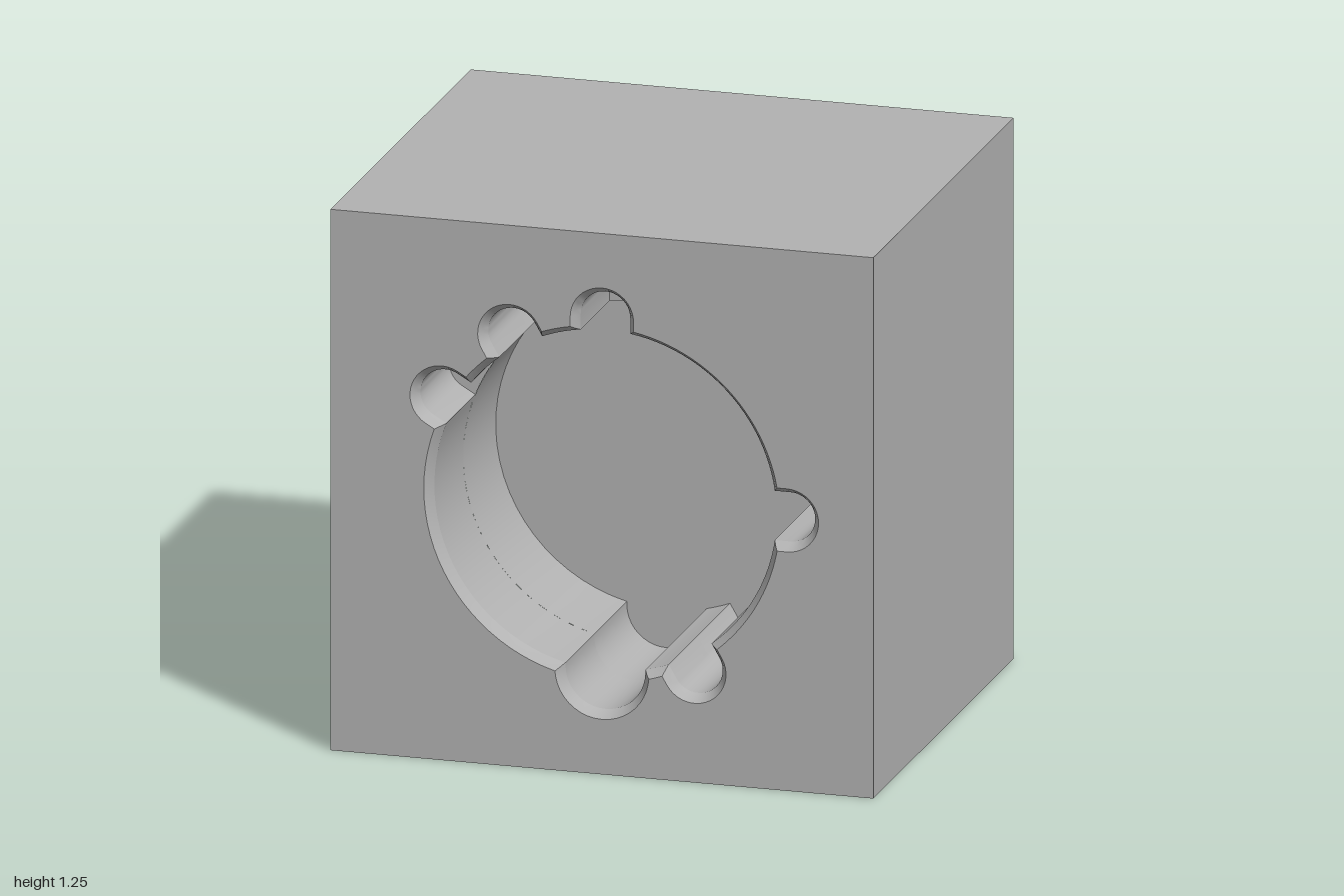
import * as THREE from 'three';
import { toCreasedNormals } from 'three/addons/utils/BufferGeometryUtils.js';

const CY = 0.625; // height of the socket and bore axis
const R = 0.394; // socket radius

// Lobes around the socket: angle, distance from axis, radius
const LOBES = [
  { a: 0, d: 0.426, r: 0.057 },
  { a: 90, d: 0.426, r: 0.057, shallow: true },
  { a: 120, d: 0.426, r: 0.057 },
  { a: 150, d: 0.426, r: 0.057, shallow: true },
  { a: 270, d: 0.39, r: 0.092 },
  { a: 300, d: 0.426, r: 0.057 },
];

const polar = (r, a) => new THREE.Vector2(r * Math.cos(a), CY + r * Math.sin(a));

function arc(r, a0, a1, n) {
  return Array.from({ length: n + 1 }, (_, i) => polar(r, a0 + ((a1 - a0) * i) / n));
}

// Rounded, straight-sided pocket standing out from the main circle
function lobePoints(lobe, off) {
  const a = THREE.MathUtils.degToRad(lobe.a);
  const w = lobe.r + off;
  const chord = Math.sqrt((R + off) ** 2 - w * w);
  const at = (u, v) => new THREE.Vector2(
    u * Math.cos(a) - v * Math.sin(a), CY + u * Math.sin(a) + v * Math.cos(a));
  const pts = [at(chord, -w)];
  for (let i = 0; i <= 20; i++) {
    const t = -Math.PI / 2 + (Math.PI * i) / 20;
    pts.push(at(Math.max(lobe.d + w * Math.cos(t), chord + 0.001), w * Math.sin(t)));
  }
  pts.push(at(chord, w));
  return pts;
}

const halfAngle = (lobe, off) => Math.asin((lobe.r + off) / (R + off));

// Closed counter-clockwise socket outline, grown by off
function outline(lobes, off) {
  const pts = [];
  lobes.forEach((lobe, i) => {
    const next = lobes[(i + 1) % lobes.length];
    const a0 = THREE.MathUtils.degToRad(lobe.a) + halfAngle(lobe, off);
    const a1 = THREE.MathUtils.degToRad(next.a + (i === lobes.length - 1 ? 360 : 0)) - halfAngle(next, off);
    pts.push(...lobePoints(lobe, off), ...arc(R + off, a0, a1, 24).slice(1, -1));
  });
  return pts;
}

const rect = (w, y0, y1) => [[-w, y0], [w, y0], [w, y1], [-w, y1]].map(p => new THREE.Vector2(...p));

// Circle with one flat side
function dShape(r, flat) {
  const a = Math.acos(flat / r);
  return arc(r, a, Math.PI * 2 - a, 48);
}

// Strips between outlines; faces inward from high z to low z, outward in reverse
function loft(sections) {
  const pos = [];
  for (let s = 0; s < sections.length - 1; s++) {
    const [A, za] = sections[s];
    const [B, zb] = sections[s + 1];
    for (let i = 0; i < A.length; i++) {
      const j = (i + 1) % A.length;
      const a = [A[i].x, A[i].y, za], b = [A[j].x, A[j].y, za];
      const c = [B[j].x, B[j].y, zb], d = [B[i].x, B[i].y, zb];
      pos.push(...a, ...b, ...c, ...a, ...c, ...d);
    }
  }
  const g = new THREE.BufferGeometry();
  g.setAttribute('position', new THREE.Float32BufferAttribute(pos, 3));
  return toCreasedNormals(g, 0.4);
}

// Flat face at z, looking to the front or the back
function face(points, z, hole, back = false) {
  const shape = new THREE.Shape(points);
  if (hole) shape.holes.push(new THREE.Path(hole));
  const g = new THREE.ShapeGeometry(shape);
  if (back) {
    g.index.array.reverse();
    g.computeVertexNormals();
  }
  return g.translate(0, 0, z);
}

export function createModel() {
  const model = new THREE.Group();
  const grey = new THREE.MeshStandardMaterial({ color: 0xb2b2b2 });
  grey.name = 'grey';

  const group = (name, parts) => {
    const g = new THREE.Group();
    g.name = name;
    for (const [part, geometry] of Object.entries(parts)) {
      const mesh = new THREE.Mesh(geometry, grey);
      mesh.name = part;
      g.add(mesh);
    }
    model.add(g);
  };

  const FRONT = 1, SHOULDER = -0.08, BACK = -1, LEDGE = 0.75, FLOOR = 0.5;
  const deep = LOBES.filter(l => !l.shallow);
  const full = outline(LOBES, 0);
  const mouth = outline(LOBES, 0.016);
  const deepOutline = outline(deep, 0);

  // Large block
  const block = rect(0.625, 0, 1.25);
  group('block', {
    blockSides: loft([[block, SHOULDER], [block, FRONT]]),
    blockFront: face(block, FRONT, mouth),
    blockBack: face(block, SHOULDER, null, true),
  });

  // Lobed socket with a bevelled rim
  group('socket', {
    socketRim: loft([[mouth, FRONT], [outline(LOBES, 0.008), 0.988], [full, 0.972]]),
    socketWall: loft([[full, 0.972], [full, LEDGE]]),
    socketDeepWall: loft([[deepOutline, LEDGE], [deepOutline, FLOOR]]),
    socketFloor: face(deepOutline, FLOOR),
  });

  // Floors of the shallow lobes
  LOBES.filter(l => l.shallow).forEach(lobe => {
    const a = THREE.MathUtils.degToRad(lobe.a), h = halfAngle(lobe, 0);
    const pts = [...lobePoints(lobe, 0), ...arc(R, a + h, a - h, 8).slice(1, -1)];
    group('shallowLobe', { shallowLobeFloor: face(pts, LEDGE) });
  });

  // Square stem
  const stem = rect(0.291, 0.334, 0.916);
  const bore = dShape(0.16, 0.12);
  const innerBore = dShape(0.125, 0.08);
  group('stem', {
    stemSides: loft([[stem, BACK], [stem, SHOULDER]]),
    stemEnd: face(stem, BACK, bore, true),
  });

  // Stepped bore with a flat side
  group('bore', {
    boreWall: loft([[innerBore, -0.5], [innerBore, -0.79], [bore, -0.79], [bore, BACK]]),
    boreFloor: face(innerBore, -0.5, null, true),
  });

  return model;
}
